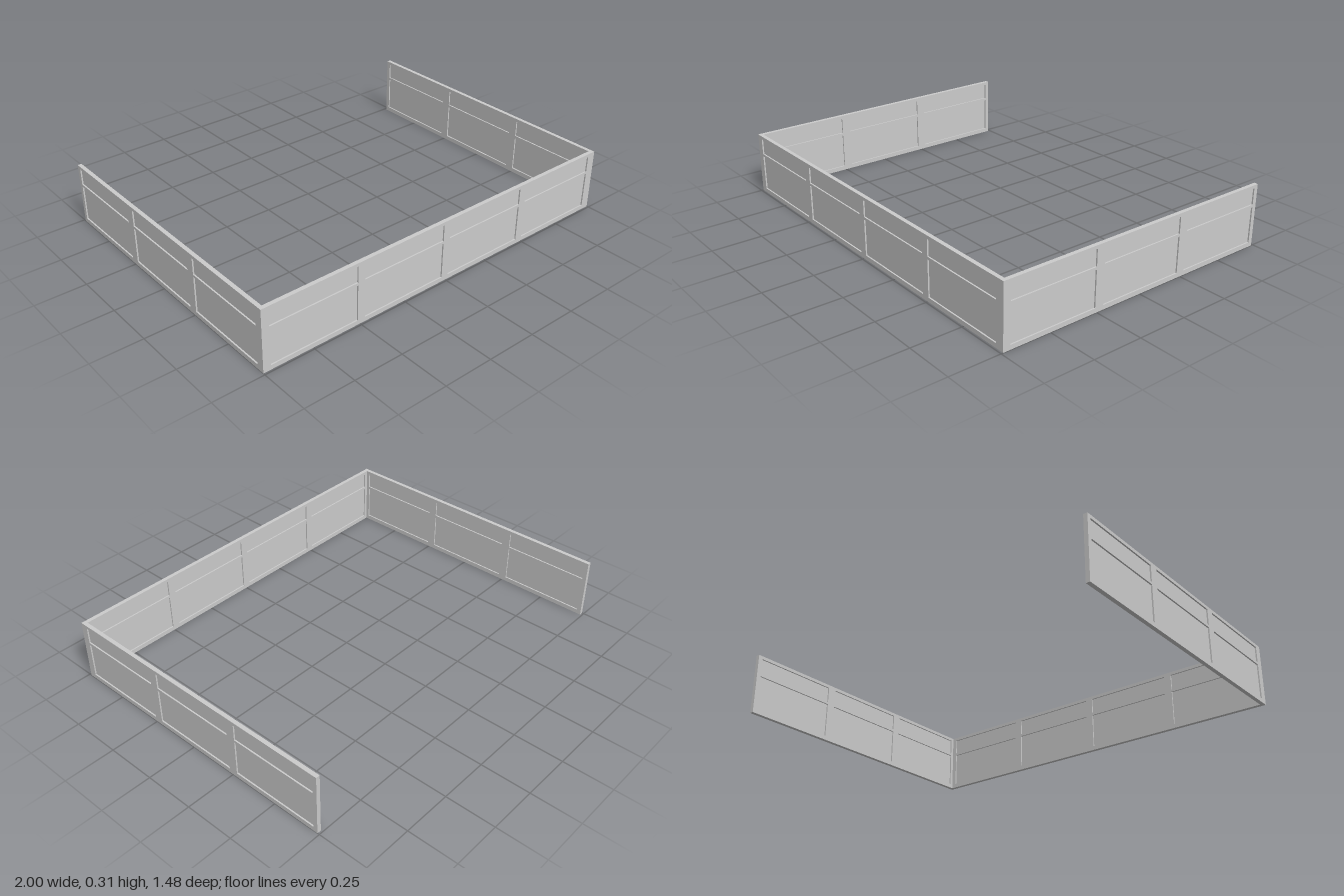
import * as THREE from 'three';

const HEIGHT = 0.31, THICK = 0.02, PANE = 0.006;
const ROWS = [[0.022, 0.2], [0.213, 0.294]]; // lower and upper openings

function rect(target, x0, y0, x1, y1) {
  target.moveTo(x0, y0);
  target.lineTo(x1, y0);
  target.lineTo(x1, y1);
  target.lineTo(x0, y1);
  target.closePath();
  return target;
}

// Panelled wall along local x, its thickness centred on z = 0
function makeWall(name, from, to, starts, width, material) {
  const wall = new THREE.Group();
  wall.name = name;
  const shape = rect(new THREE.Shape(), from, 0, to, HEIGHT);
  for (const x of starts) {
    for (const [y0, y1] of ROWS) {
      shape.holes.push(rect(new THREE.Path(), x, y0, x + width, y1));
      // Thin recessed panel filling the opening
      const pane = new THREE.Mesh(new THREE.BoxGeometry(width, y1 - y0, PANE), material);
      pane.position.set(x + width / 2, (y0 + y1) / 2, 0);
      pane.name = 'panel';
      wall.add(pane);
    }
  }
  const geometry = new THREE.ExtrudeGeometry(shape, { depth: THICK, bevelEnabled: false });
  geometry.translate(0, 0, -THICK / 2);
  const frame = new THREE.Mesh(geometry, material);
  frame.name = 'frame';
  wall.add(frame);
  return wall;
}

export function createModel() {
  const model = new THREE.Group();
  model.name = 'panelledEnclosure';
  const material = new THREE.MeshStandardMaterial({ color: 0xcccccc });

  // Front wall with four bays
  const front = makeWall('frontWall', -1, 1, [-0.963, -0.473, 0.015, 0.505], 0.451, material);
  front.position.z = 0.74 - THICK / 2;
  model.add(front);

  // Side walls with three bays; local x runs from front to back
  for (const side of [-1, 1]) {
    const wall = makeWall(side > 0 ? 'leftWall' : 'rightWall',
      -0.72, 0.74, [-0.703, -0.215, 0.274], 0.445, material);
    wall.rotation.y = Math.PI / 2;
    wall.position.x = side * (1 - THICK / 2);
    model.add(wall);
  }
  return model;
}
